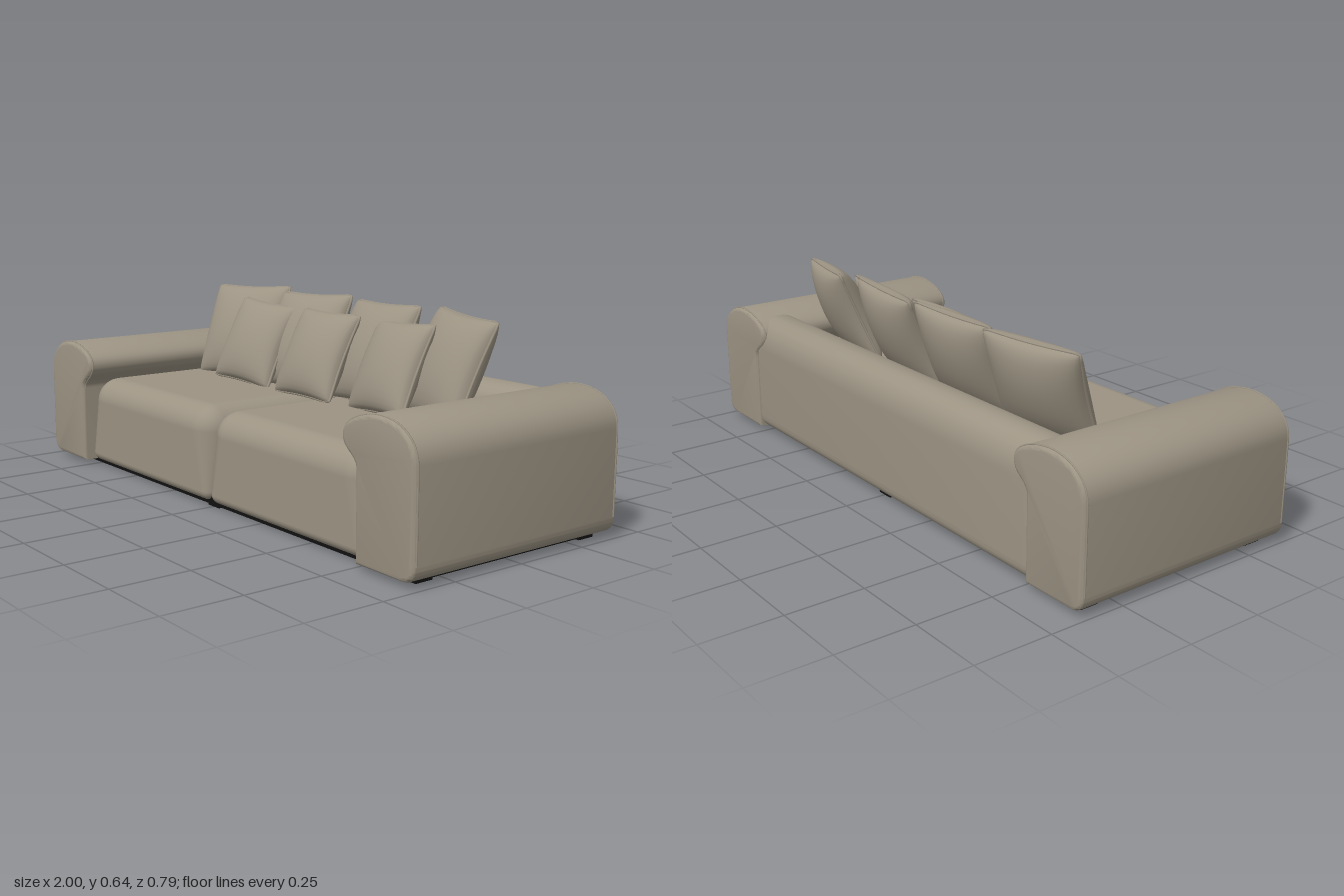
import * as THREE from 'three';
import { toCreasedNormals } from 'three/addons/utils/BufferGeometryUtils.js';
import { RoundedBoxGeometry } from 'three/addons/geometries/RoundedBoxGeometry.js';

const fabric = new THREE.MeshStandardMaterial({ color: 0x9c9383 });
fabric.name = 'taupeFabric';
const black = new THREE.MeshStandardMaterial({ color: 0x111111 });
black.name = 'blackBase';

function add(parent, name, geometry, material, x = 0, y = 0, z = 0) {
  const mesh = new THREE.Mesh(geometry, material);
  mesh.name = name;
  mesh.position.set(x, y, z);
  parent.add(mesh);
  return mesh;
}

// Cross-section of an upholstered wall whose top rolls over towards the inside
function rollProfile(inner, lip, outer, top, side = 1) {
  const s = new THREE.Shape();
  const mid = (lip + outer) / 2;
  const bottom = 0.015;
  const X = (v) => v * side;
  s.moveTo(X(inner), bottom);
  s.lineTo(X(inner), top - 0.16);
  s.bezierCurveTo(X(inner), top - 0.12, X(lip), top - 0.12, X(lip), top - 0.07);
  s.bezierCurveTo(X(lip), top - 0.025, X(mid - 0.05), top, X(mid), top);
  s.bezierCurveTo(X(mid + (outer - mid) * 0.6), top, X(outer), top - 0.045, X(outer), top - 0.11);
  s.lineTo(X(outer), 0.065);
  s.quadraticCurveTo(X(outer), bottom, X(outer - 0.05), bottom);
  s.closePath();
  return s;
}

function extrudeWall(shape, length, bevel) {
  const g = new THREE.ExtrudeGeometry(shape, {
    depth: length - 2 * bevel, curveSegments: 14,
    bevelEnabled: true, bevelThickness: bevel, bevelSize: bevel, bevelOffset: -bevel, bevelSegments: 3,
  });
  g.translate(0, 0, -length / 2 + bevel);
  return toCreasedNormals(g, 0.7);
}

// Seat block: generous rounding above, tighter rounding below
function seatGeometry(w, h, d, r, rLow) {
  const g = new RoundedBoxGeometry(w, h, d, 6, r);
  const p = g.attributes.position;
  const half = [w / 2, h / 2, d / 2];
  for (let i = 0; i < p.count; i++) {
    if (p.getY(i) > 0) continue;
    const v = [p.getX(i), p.getY(i), p.getZ(i)].map((c, k) => {
      const sign = Math.sign(c);
      const n = (c - sign * (half[k] - r)) / r;
      return sign * (half[k] - rLow) + n * rLow;
    });
    p.setXYZ(i, ...v);
  }
  return g;
}

// Pillow outline point: sides pulled in between the corners
function pillowEdge(u, v, w, h) {
  const trim = 1 - 0.03 * Math.pow(u * v, 8);
  return [
    (w / 2) * u * (1 - 0.07 * (1 - v * v)) * trim,
    (h / 2) * v * (1 - 0.05 * (1 - u * u)) * trim,
  ];
}

function pillow(parent, name, w, h, t) {
  const group = new THREE.Group();
  group.name = name;
  const g = new THREE.BoxGeometry(2, 2, 2, 16, 16, 1);
  const p = g.attributes.position;
  for (let i = 0; i < p.count; i++) {
    const u = Math.sin((p.getX(i) * Math.PI) / 2);
    const v = Math.sin((p.getY(i) * Math.PI) / 2);
    const bulge = Math.pow(Math.max(0, (1 - u * u) * (1 - v * v)), 0.45);
    const [x, y] = pillowEdge(u, v, w, h);
    p.setXYZ(i, x, y, Math.sign(p.getZ(i)) * (0.003 + (t / 2) * bulge));
  }
  g.computeVertexNormals();
  add(group, 'pillowBody', g, fabric);

  // Piping around the seam
  const pts = [];
  const corners = [[-1, -1], [1, -1], [1, 1], [-1, 1]];
  corners.forEach(([a, b], k) => {
    const [c, d] = corners[(k + 1) % 4];
    for (let j = 0; j < 8; j++) {
      const f = j / 8;
      const [x, y] = pillowEdge(a + (c - a) * f, b + (d - b) * f, w, h);
      pts.push(new THREE.Vector3(x, y, 0));
    }
  });
  add(group, 'pillowPiping',
    new THREE.TubeGeometry(new THREE.CatmullRomCurve3(pts, true), 64, 0.0045, 6, true), fabric);
  parent.add(group);
  return group;
}

export function createModel() {
  const sofa = new THREE.Group();
  sofa.name = 'sofa';

  // Arms with a welt along each end
  for (const side of [1, -1]) {
    const arm = new THREE.Group();
    arm.name = side > 0 ? 'leftArm' : 'rightArm';
    const shape = rollProfile(0.762, 0.703, 0.997, 0.438, side);
    add(arm, 'armBody', extrudeWall(shape, 0.795, 0.012), fabric);
    for (const z of [0.386, -0.386]) {
      const pts = shape.getPoints(10).map((q) => new THREE.Vector3(q.x, q.y, z));
      const curve = new THREE.CatmullRomCurve3(pts.slice(1, 33), false, 'centripetal');
      add(arm, 'armWelt', new THREE.TubeGeometry(curve, 60, 0.003, 5), fabric);
    }
    sofa.add(arm);
  }

  // Rolled backrest
  const back = extrudeWall(rollProfile(0.27, 0.225, 0.393, 0.424), 1.54, 0.02);
  back.rotateY(Math.PI / 2);
  add(sofa, 'backrest', back, fabric);

  // Two seat blocks
  for (const side of [1, -1]) {
    add(sofa, side > 0 ? 'leftSeat' : 'rightSeat',
      seatGeometry(0.758, 0.3, 0.668, 0.08, 0.03), fabric, side * 0.383, 0.166, 0.034);
  }

  // Base panel and feet
  add(sofa, 'basePanel', new THREE.BoxGeometry(1.9, 0.024, 0.7), black, 0, 0.018, -0.004);
  for (const x of [-0.92, 0, 0.92]) {
    for (const z of [0.315, -0.325]) {
      add(sofa, 'foot', new THREE.BoxGeometry(0.06, 0.014, 0.06), black, x, 0.007, z);
    }
  }

  // Pillows: x, y, z, yaw, lean, roll
  const rows = [
    ['backPillow', 0.345, 0.345, 0.135, [
      [-0.535, 0.47, -0.155, 0.23, 0.4, 0.04],
      [-0.185, 0.47, -0.165, 0.09, 0.4, 0.04],
      [0.175, 0.47, -0.165, -0.09, 0.4, 0.03],
      [0.535, 0.47, -0.155, -0.23, 0.4, -0.04],
    ]],
    ['frontPillow', 0.295, 0.305, 0.115, [
      [-0.36, 0.452, -0.082, 0.09, 0.45, -0.06],
      [0, 0.452, -0.072, 0, 0.45, 0],
      [0.36, 0.452, -0.082, -0.14, 0.45, 0.06],
    ]],
  ];
  for (const [name, w, h, t, places] of rows) {
    for (const [x, y, z, yaw, lean, roll] of places) {
      const p = pillow(sofa, name, w, h, t);
      p.position.set(x, y, z);
      p.rotation.set(-lean, yaw, roll, 'YXZ');
    }
  }
  return sofa;
}
